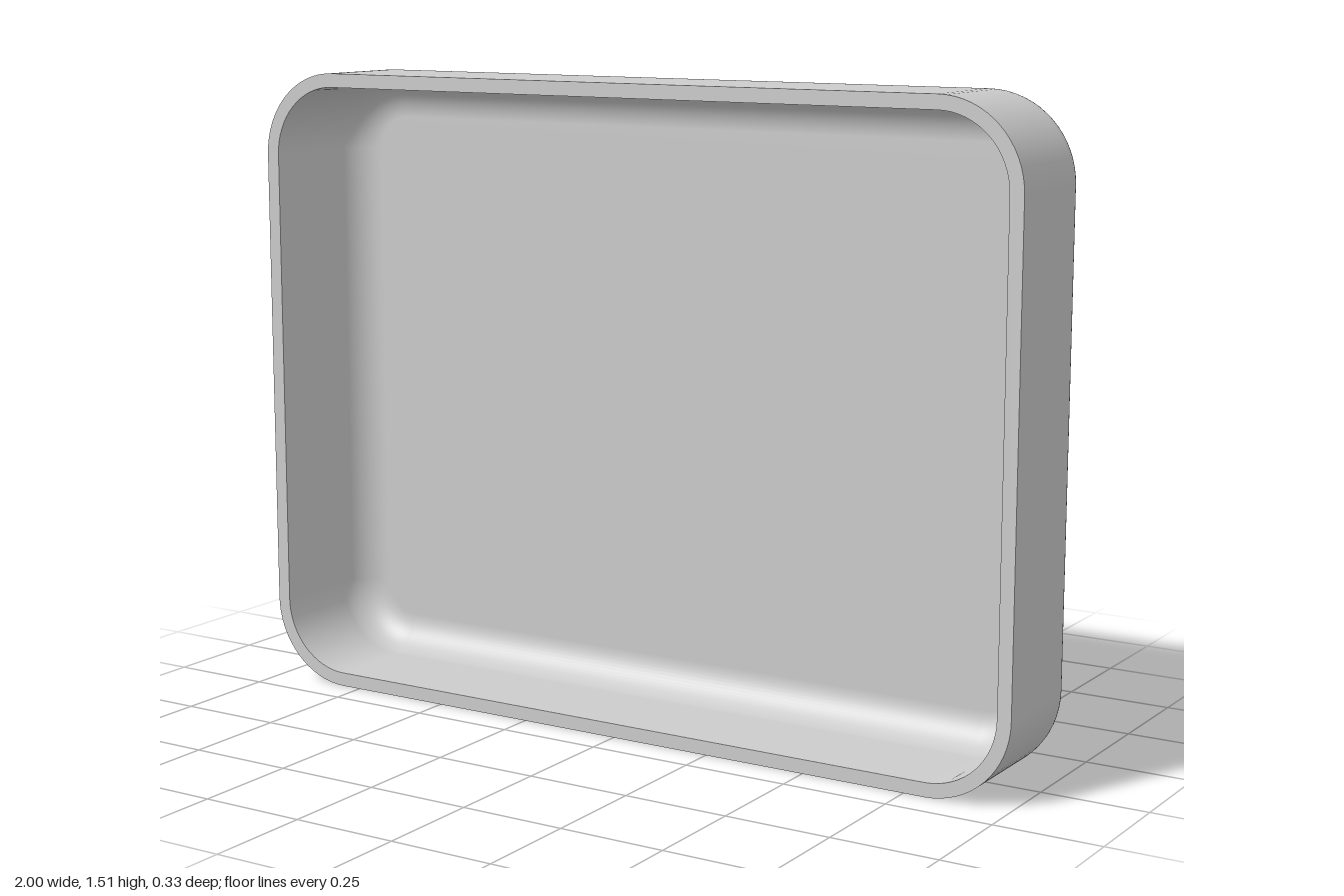
import * as THREE from 'three';

const W = 2, H = 1.51, D = 0.33;          // overall size
const R = 0.2, WALL = 0.033, FILLET = 0.085; // corner radius, thickness, edge rounding
const ARC = 16;                           // steps per quarter turn

// Rounded rectangle outline, inset from the outer edge: position and outward normal
function outline(inset) {
  const points = [];
  const r = R - inset;
  const centres = [[1, 1], [-1, 1], [-1, -1], [1, -1]];
  centres.forEach(([sx, sy], q) => {
    for (let i = 0; i <= ARC; i++) {
      const a = (q + i / ARC) * Math.PI / 2;
      const nx = Math.cos(a), ny = Math.sin(a);
      points.push({ x: sx * (W / 2 - R) + r * nx, y: sy * (H / 2 - R) + r * ny, nx, ny });
    }
  });
  return points;
}

// Skin through outlines; each profile entry is [inset, z, outward normal, z normal]
function skin(profile) {
  const pos = [], nor = [], index = [];
  const n = 4 * (ARC + 1);
  profile.forEach(([inset, z, a, b], k) => {
    outline(inset).forEach((p, i) => {
      pos.push(p.x, p.y, z);
      nor.push(p.nx * a, p.ny * a, b);
      if (k === 0) return;
      const A = (k - 1) * n + i, B = (k - 1) * n + (i + 1) % n;
      index.push(A, A + n, B, B, A + n, B + n);
    });
  });
  const g = new THREE.BufferGeometry();
  g.setAttribute('position', new THREE.Float32BufferAttribute(pos, 3));
  g.setAttribute('normal', new THREE.Float32BufferAttribute(nor, 3));
  g.setIndex(index);
  return g;
}

// Flat panel closing an outline
function panel(inset) {
  return new THREE.ShapeGeometry(new THREE.Shape(outline(inset).map(p => new THREE.Vector2(p.x, p.y))));
}

export function createModel() {
  const group = new THREE.Group();
  group.name = 'tray';
  const material = new THREE.MeshStandardMaterial({ color: 0xcccccc });
  const add = (name, geometry) => {
    const mesh = new THREE.Mesh(geometry, material);
    mesh.name = name;
    mesh.position.y = H / 2;
    group.add(mesh);
    return mesh;
  };

  const front = D / 2, back = -D / 2, floor = back + WALL;
  const inner = [], outer = [[0, front, 1, 0]];
  for (let i = 0; i <= ARC; i++) {
    const c = Math.cos(i / ARC * Math.PI / 2), s = Math.sin(i / ARC * Math.PI / 2);
    inner.push([WALL + FILLET * (1 - s), floor + FILLET * (1 - c), -s, c]);
    outer.push([FILLET * (1 - c), back + FILLET * (1 - s), c, -s]);
  }
  inner.push([WALL, front, -1, 0]);

  // Walls with rounded edges, and the flat rim between them
  add('innerWall', skin(inner));
  add('rim', skin([[WALL, front, 0, 1], [0, front, 0, 1]]));
  add('outerWall', skin(outer));

  // Flat floor inside and flat panel behind
  add('floor', panel(WALL + FILLET)).position.z = floor;
  const backPanel = add('backPanel', panel(FILLET));
  backPanel.position.z = back;
  backPanel.rotation.y = Math.PI;

  return group;
}
